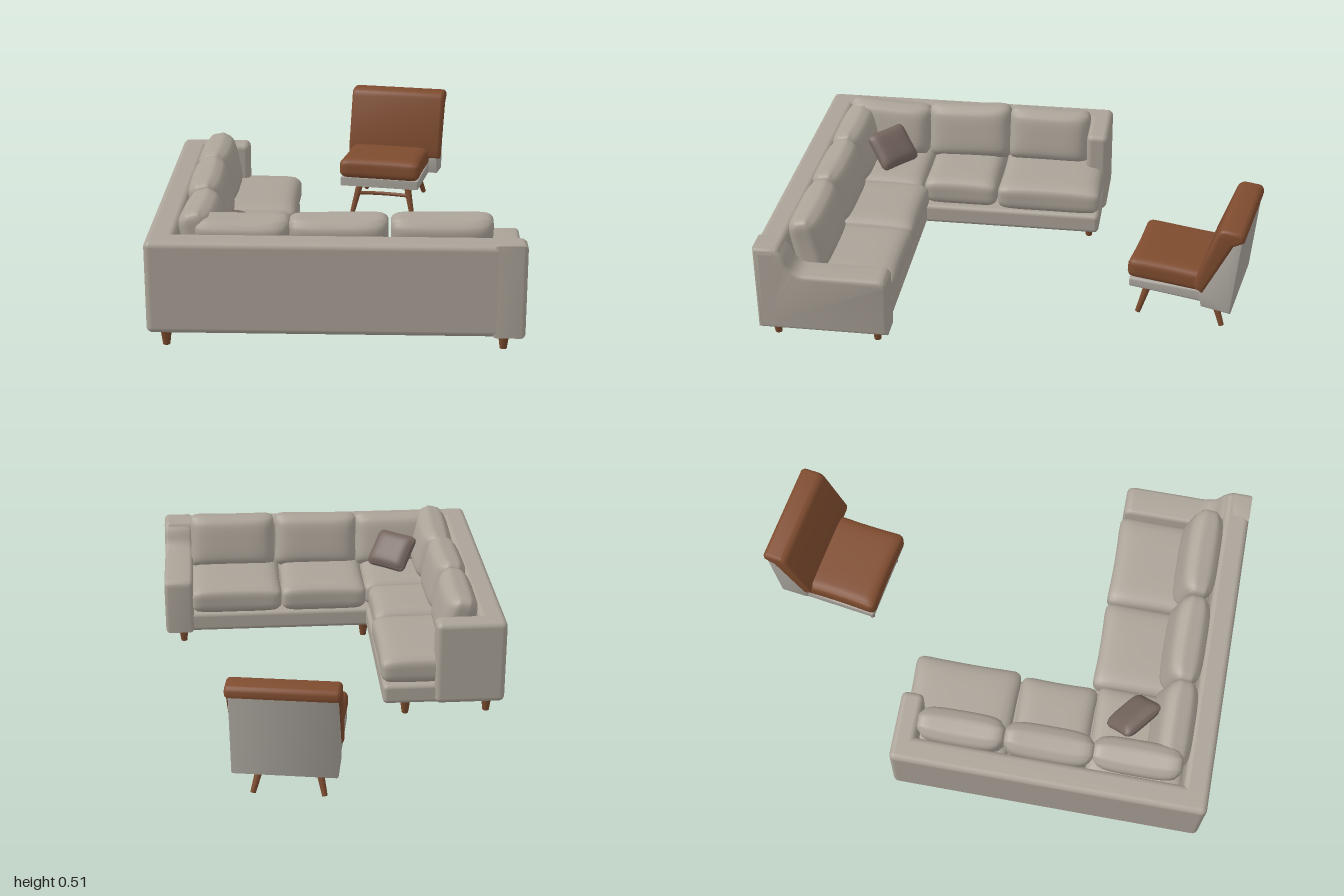
import * as THREE from 'three';
import { mergeVertices, toCreasedNormals } from 'three/addons/utils/BufferGeometryUtils.js';
import { RoundedBoxGeometry } from 'three/addons/geometries/RoundedBoxGeometry.js';

const mat = (name, color) => {
  const m = new THREE.MeshStandardMaterial({ color });
  m.name = name;
  return m;
};

export function createModel() {
  const fabric = mat('sofa fabric', 0xaba398);
  const plum = mat('accent pillow fabric', 0x75665f);
  const tan = mat('chair leather', 0x7f4c2f);
  const wood = mat('leg wood', 0x7a4a2e);
  const shellGrey = mat('chair shell', 0xaaa59d);

  const add = (parent, name, geo, material, pos = [0, 0, 0]) => {
    const m = new THREE.Mesh(geo, material);
    m.name = name;
    m.position.set(...pos);
    parent.add(m);
    return m;
  };
  const group = (parent, name) => {
    const g = new THREE.Group();
    g.name = name;
    parent.add(g);
    return g;
  };

  // Stuffed cushion: rounded box, thickness along z, thinner toward its rim
  const cushion = (w, h, t, puff = 0.4, r = 0.04) => {
    const geo = new THREE.BoxGeometry(w, h, t, 16, 16, 8);
    const p = geo.attributes.position;
    const v = new THREE.Vector3(), c = new THREE.Vector3();
    const inner = new THREE.Vector3(w / 2 - r, h / 2 - r, t / 2 - r);
    for (let i = 0; i < p.count; i++) {
      v.fromBufferAttribute(p, i);
      const u = (2 * v.x) / w, s = (2 * v.y) / h;
      c.copy(v).clamp(inner.clone().negate(), inner);
      v.sub(c);
      if (v.lengthSq() > 0) v.setLength(r);
      v.add(c);
      v.z *= 1 - puff * Math.min(1, (u ** 4 + s ** 4) * 0.6);
      v.x *= 1 - 0.03 * (1 - s * s);
      v.y *= 1 - 0.03 * (1 - u * u);
      p.setXYZ(i, v.x, v.y, v.z);
    }
    geo.deleteAttribute('uv');
    geo.deleteAttribute('normal');
    const out = mergeVertices(geo, 1e-5);
    out.computeVertexNormals();
    return out;
  };

  // Side profile given in (z, y), extruded along x and centred
  const profileX = (shape, width, bevel) => {
    const geo = new THREE.ExtrudeGeometry(shape, {
      depth: width - 2 * bevel, bevelThickness: bevel, bevelSize: bevel,
      bevelOffset: -bevel, bevelSegments: 4, curveSegments: 8,
    });
    geo.translate(0, 0, bevel - width / 2);
    geo.rotateY(-Math.PI / 2);
    return toCreasedNormals(geo, 0.7);
  };
  const poly = pts => new THREE.Shape(pts.map(([a, b]) => new THREE.Vector2(a, b)));

  // Rounded block from its min and max corners
  const block = (parent, name, a, b, r, material) => add(parent, name,
    new RoundedBoxGeometry(b[0] - a[0], b[1] - a[1], b[2] - a[2], 4, r), material,
    a.map((n, i) => (n + b[i]) / 2));

  const model = new THREE.Group();
  model.name = 'corner sofa and chair';
  const sofa = group(model, 'sofa');

  // Sofa carcass: base under both wings, two tall walls, two arms
  block(sofa, 'rear base', [-0.72, 0.065, 0.47], [0.71, 0.155, 0.98], 0.02, fabric);
  block(sofa, 'side base', [-0.72, 0.065, -0.31], [-0.21, 0.155, 0.97], 0.02, fabric);
  block(sofa, 'rear wall', [-0.73, 0.065, 0.89], [0.72, 0.44, 1], 0.025, fabric);
  block(sofa, 'side wall', [-0.73, 0.065, -0.32], [-0.62, 0.44, 1], 0.025, fabric);
  block(sofa, 'side wing arm', [-0.73, 0.065, -0.325], [-0.43, 0.44, -0.23], 0.025, fabric);
  const arm = poly([[1, 0.065], [1, 0.44], [0.92, 0.44]]);
  arm.quadraticCurveTo(0.885, 0.43, 0.865, 0.38);
  arm.quadraticCurveTo(0.845, 0.325, 0.79, 0.325);
  arm.lineTo(0.5, 0.325);
  arm.quadraticCurveTo(0.46, 0.325, 0.46, 0.29);
  arm.lineTo(0.46, 0.065);
  add(sofa, 'rear wing arm', profileX(arm, 0.13, 0.018), fabric, [0.655, 0, 0]);

  // Seat cushions as x0, x1, z0, z1
  [[-0.62, -0.2, -0.315, 0.15], [-0.62, -0.215, 0.15, 0.485], [-0.62, -0.2, 0.48, 0.9],
    [-0.21, 0.185, 0.45, 0.9], [0.18, 0.6, 0.45, 0.9]].forEach(([x0, x1, z0, z1]) => {
    const m = add(sofa, 'seat cushion', cushion(x1 - x0, z1 - z0, 0.14, 0.25), fabric,
      [(x0 + x1) / 2, 0.217, (z0 + z1) / 2]);
    m.rotation.x = -Math.PI / 2;
  });

  // Back cushions: x, y, z, width, height, yaw, lean, roll
  const side = -Math.PI / 2;
  [[-0.54, 0.385, -0.05, 0.37, 0.245, side, 0.2, 0.02],
    [-0.54, 0.385, 0.315, 0.38, 0.25, side, 0.2, -0.03],
    [-0.53, 0.385, 0.69, 0.38, 0.24, side, 0.25, 0.06],
    [-0.37, 0.37, 0.81, 0.38, 0.25, 0, 0.25, 0],
    [0.005, 0.375, 0.81, 0.39, 0.25, 0, 0.2, 0.02],
    [0.4, 0.38, 0.81, 0.4, 0.25, 0, 0.2, 0.01]].forEach(([x, y, z, w, h, yaw, lean, roll]) => {
    const m = add(sofa, 'back cushion', cushion(w, h, 0.15, 0.45), fabric, [x, y, z]);
    m.rotation.set(lean, yaw, roll, 'YXZ');
  });
  const pillow = add(sofa, 'accent pillow', cushion(0.2, 0.18, 0.075, 0.7, 0.025), plum, [-0.345, 0.37, 0.645]);
  pillow.rotation.set(0.75, -0.68, 0, 'YXZ');

  // Short tapered sofa legs
  [[-0.66, 0.94], [0.64, 0.94], [0.64, 0.52], [-0.2, 0.52], [-0.31, -0.26], [-0.66, -0.26]]
    .forEach(([x, z]) => add(sofa, 'sofa leg',
      new THREE.CylinderGeometry(0.024, 0.014, 0.075, 14), wood, [x, 0.0375, z]));

  // Lounge chair, turned slightly
  const chair = group(model, 'chair');
  chair.position.set(0.195, 0, -0.75);
  chair.rotation.y = -0.17;
  add(chair, 'seat pan', profileX(poly([[0.235, 0.145], [0.235, 0.185], [-0.17, 0.175], [-0.2, 0.125], [-0.15, 0.12]]),
    0.37, 0.008), shellGrey, [-0.01, 0, 0]);
  add(chair, 'back shell', profileX(poly([[-0.205, 0.115], [-0.08, 0.13], [-0.07, 0.2],
    [-0.17, 0.47], [-0.238, 0.47]]), 0.42, 0.008), shellGrey, [0.01, 0, 0]);
  const seat = add(chair, 'seat cushion', cushion(0.38, 0.36, 0.1, 0.15, 0.03), tan, [-0.01, 0.22, 0.067]);
  seat.rotation.x = -Math.PI / 2 - 0.06;
  const back = poly([[-0.085, 0.2], [-0.055, 0.215], [-0.05, 0.25], [-0.13, 0.48]]);
  back.quadraticCurveTo(-0.14, 0.512, -0.17, 0.512);
  back.lineTo(-0.225, 0.508);
  back.quadraticCurveTo(-0.25, 0.5, -0.243, 0.465);
  back.lineTo(-0.2, 0.44);
  add(chair, 'backrest cushion', profileX(back, 0.445, 0.016), tan, [0.012, 0, 0]);

  // Splayed chair legs and bowed stretchers
  const up = new THREE.Vector3(0, 1, 0);
  [[0.2, 0.16, 0.15], [-0.16, -0.11, 0.13]].forEach(([footZ, topZ, topY]) => {
    [-1, 1].forEach(s => {
      const foot = new THREE.Vector3(s * 0.142, 0.005, footZ);
      const dir = new THREE.Vector3(s * 0.11, topY, topZ).sub(foot);
      const leg = add(chair, 'chair leg', new THREE.CylinderGeometry(0.017, 0.011, dir.length(), 12), wood);
      leg.position.copy(foot).addScaledVector(dir, 0.5);
      leg.quaternion.setFromUnitVectors(up, dir.normalize());
    });
    const midZ = (footZ + topZ) / 2;
    const curve = new THREE.QuadraticBezierCurve3(new THREE.Vector3(-0.122, 0.095, midZ),
      new THREE.Vector3(0, 0.085, midZ + Math.sign(footZ) * -0.05), new THREE.Vector3(0.122, 0.095, midZ));
    add(chair, 'stretcher', new THREE.TubeGeometry(curve, 16, 0.009, 8), wood);
  });

  return model;
}
